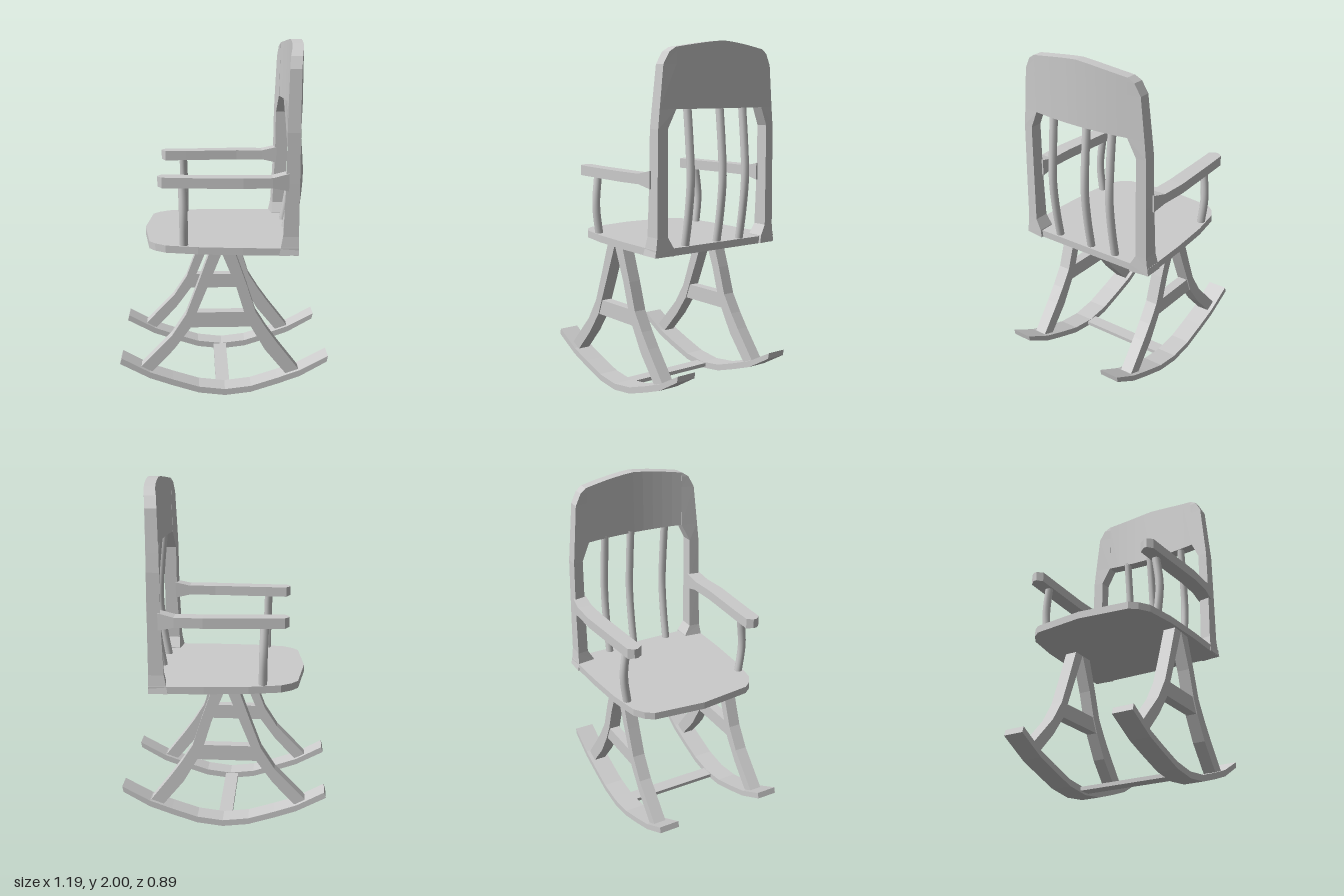
import * as THREE from 'three';

const grey = new THREE.MeshStandardMaterial({ color: 0xcccccc, flatShading: true });
const smoothGrey = new THREE.MeshStandardMaterial({ color: 0xcccccc });

// Skin over four-cornered cross-sections, closed at both ends, faces turned outward
function loft(rings) {
  const pts = rings.flat(), idx = [], last = (rings.length - 1) * 4;
  for (let r = 0; r < last; r += 4) {
    for (let k = 0; k < 4; k++) {
      const a = r + k, b = r + (k + 1) % 4;
      idx.push(a, b, b + 4, a, b + 4, a + 4);
    }
  }
  idx.push(0, 2, 1, 0, 3, 2, last, last + 1, last + 2, last, last + 2, last + 3);
  const v = pts.map((p) => new THREE.Vector3(...p));
  let volume = 0;
  for (let i = 0; i < idx.length; i += 3) {
    volume += v[idx[i]].dot(v[idx[i + 1]].clone().cross(v[idx[i + 2]]));
  }
  if (volume < 0) idx.reverse();
  const geo = new THREE.BufferGeometry().setFromPoints(v);
  geo.setIndex(idx);
  geo.computeVertexNormals();
  return geo;
}

// Flat outline given thickness, centred on z
function slab(points, depth) {
  const shape = new THREE.Shape(points.map(([x, y]) => new THREE.Vector2(x, y)));
  return new THREE.ExtrudeGeometry(shape, { depth, bevelEnabled: false }).translate(0, 0, -depth / 2);
}

// Round rod through a few points
function rod(points, radius) {
  const curve = new THREE.CatmullRomCurve3(points.map((p) => new THREE.Vector3(...p)));
  return new THREE.TubeGeometry(curve, 14, radius, 10);
}

// Backward bow of the backrest across its width
const bow = (z) => 0.042 * Math.max(0, 1 - (z / 0.4) ** 2);

export function createModel() {
  const chair = new THREE.Group();
  chair.name = 'rockingChair';
  const add = (name, geo, mat = grey, parent = chair) => {
    const mesh = new THREE.Mesh(geo, mat);
    mesh.name = name;
    parent.add(mesh);
    return mesh;
  };

  // Two side frames: rocker, curved legs and brace
  const arc = [[-0.43, 0.112], [-0.3, 0.066], [-0.15, 0.018], [0, 0], [0.15, 0.018], [0.3, 0.066], [0.43, 0.112]];
  const rocker = [[-0.6, 0.203], ...arc, [0.585, 0.2], [0.592, 0.235],
    ...arc.map(([x, y]) => [x, y + 0.037]).reverse(), [-0.59, 0.237]];
  const frontLeg = [[-0.085, 0.86], [-0.16, 0.65], [-0.22, 0.49], [-0.3, 0.365], [-0.49, 0.165],
    [-0.43, 0.13], [-0.29, 0.28], [-0.195, 0.41], [-0.16, 0.5], [-0.095, 0.66], [-0.015, 0.86]];
  const backLeg = [[-0.02, 0.86], [0.065, 0.65], [0.11, 0.5], [0.15, 0.41], [0.23, 0.27], [0.36, 0.11],
    [0.43, 0.14], [0.3, 0.31], [0.24, 0.395], [0.175, 0.5], [0.125, 0.66], [0.055, 0.86]];
  const brace = [[-0.21, 0.41], [0.16, 0.41], [0.12, 0.5], [-0.17, 0.5]];
  for (const z of [0.37, -0.3]) {
    const frame = new THREE.Group();
    frame.name = z > 0 ? 'leftFrame' : 'rightFrame';
    frame.position.z = z;
    add('rocker', slab(rocker, 0.12), grey, frame);
    add('frontLeg', slab(frontLeg, 0.073), grey, frame);
    add('backLeg', slab(backLeg, 0.073), grey, frame);
    add('brace', slab(brace, 0.06), grey, frame);
    chair.add(frame);
  }
  add('stretcher', new THREE.BoxGeometry(0.08, 0.022, 0.57)).position.set(-0.01, 0.024, 0.035);

  // Seat board, sloping slightly to the back
  const half = [[-0.425, 0.3], [-0.39, 0.345], [-0.33, 0.385], [-0.15, 0.415], [0.1, 0.43], [0.41, 0.435]];
  const outline = [[-0.46, 0], ...half, ...half.map(([x, z]) => [x, -z]).reverse()];
  const seat = add('seat', slab(outline, 0.042).rotateX(Math.PI / 2));
  seat.position.y = 0.869;
  seat.rotation.z = -0.013;

  // Back posts, arms and arm supports, mirrored
  const posts = [[0.845, 0.32, 0.44, 0.3], [0.89, 0.325, 0.432, 0.31], [0.95, 0.36, 0.425, 0.322],
    [1.25, 0.36, 0.422, 0.335], [1.53, 0.36, 0.418, 0.337], [1.635, 0.31, 0.408, 0.34],
    [1.87, 0.31, 0.385, 0.345], [1.935, 0.31, 0.35, 0.345], [1.96, 0.31, 0.312, 0.347]];
  const arms = [[-0.37, 0.37, 0.39, 1.235, 1.29], [-0.345, 0.337, 0.42, 1.23, 1.29], [-0.22, 0.342, 0.428, 1.23, 1.288],
    [0.1, 0.358, 0.447, 1.23, 1.288], [0.26, 0.354, 0.44, 1.23, 1.287], [0.35, 0.35, 0.43, 1.21, 1.308]];
  for (const s of [1, -1]) {
    const side = s > 0 ? 'left' : 'right';
    add(side + 'BackPost', loft(posts.map(([y, zi, zo, x]) => [
      [x + bow(zi), y, s * zi], [x + bow(zo), y, s * zo],
      [0.41 + bow(zo), y, s * zo], [0.41 + bow(zi), y, s * zi]])));
    add(side + 'Arm', loft(arms.map(([x, zi, zo, y0, y1]) => [
      [x, y0, s * zi], [x, y0, s * zo], [x, y1, s * zo], [x, y1, s * zi]])));
    add(side + 'ArmSupport', rod([[-0.228, 0.87, s * 0.37], [-0.23, 1.06, s * 0.39], [-0.235, 1.25, s * 0.37]], 0.024), smoothGrey);
  }

  // Bowed crest panel between the posts
  const crest = [];
  for (let i = -5; i <= 5; i++) {
    const z = i * 0.062, b = bow(z), top = 2 - 0.04 * (Math.abs(z) / 0.31) ** 1.3;
    crest.push([[0.342 + b, 1.635, z], [0.41 + b, 1.635, z], [0.41 + b, top, z], [0.347 + b, top, z]]);
  }
  add('crestPanel', loft(crest));

  // Curved back spindles
  for (const z of [0.21, -0.02, -0.19]) {
    add('backSpindle', rod([[0.377, 0.87, z], [0.408, 1.05, z], [0.427, 1.25, z], [0.415, 1.45, z], [0.395, 1.65, z]], 0.023), smoothGrey);
  }
  return chair;
}
